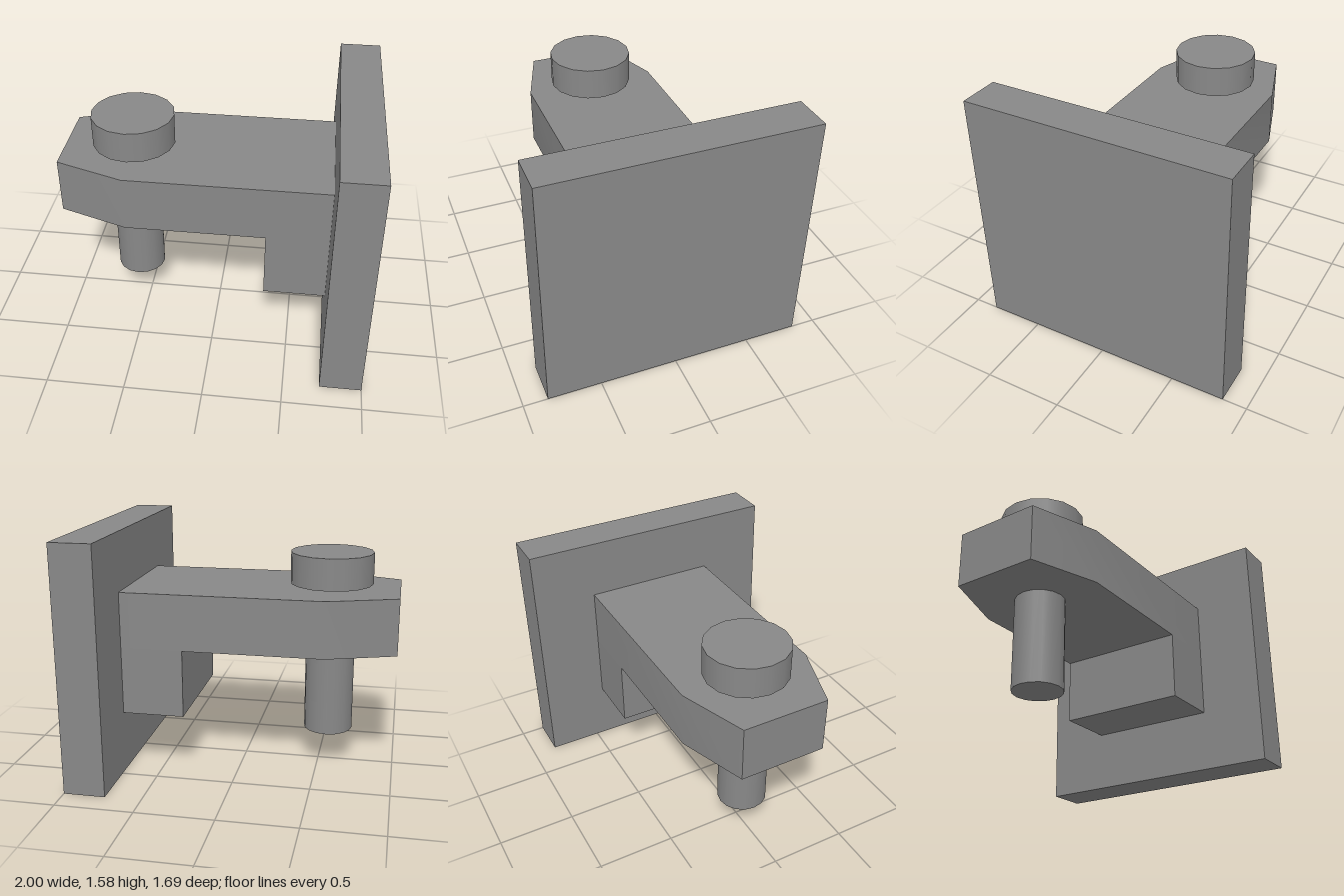
import * as THREE from 'three';
import { toCreasedNormals } from 'three/addons/utils/BufferGeometryUtils.js';

export function createModel() {
  const model = new THREE.Group();
  const material = new THREE.MeshStandardMaterial({ color: 0x888888 });

  const add = (name, geometry, x = 0, y = 0, z = 0, parent = model) => {
    const mesh = new THREE.Mesh(geometry, material);
    mesh.name = name;
    mesh.position.set(x, y, z);
    parent.add(mesh);
  };

  // Box given by its x and y ranges and its depth, centred on z = 0
  const addBlock = (name, x0, x1, y0, y1, depth) =>
    add(name, new THREE.BoxGeometry(x1 - x0, y1 - y0, depth), (x0 + x1) / 2, (y0 + y1) / 2);

  // Upright square plate and the knee under the arm
  addBlock('mountingPlate', 0.733, 1, 0, 1.58, 1.69);
  addBlock('supportKnee', 0.333, 0.733, 0.4, 0.84, 0.86);

  // Horizontal arm with a tapered tip, extruded upwards, shaded softly across the taper
  const outline = new THREE.Shape([
    [0.733, -0.43], [0.733, 0.43], [-0.56, 0.43],
    [-1, 0.28], [-1, -0.28], [-0.56, -0.43],
  ].map(([x, y]) => new THREE.Vector2(x, y)));
  const armGeometry = new THREE.ExtrudeGeometry(outline, { depth: 0.363, bevelEnabled: false });
  armGeometry.rotateX(-Math.PI / 2);
  add('arm', toCreasedNormals(armGeometry, Math.PI / 6), 0, 0.84, 0);

  // Bolt passing down through the arm
  const bolt = new THREE.Group();
  bolt.name = 'bolt';
  bolt.position.x = -0.56;
  model.add(bolt);
  const addRod = (name, radius, y0, y1) =>
    add(name, new THREE.CylinderGeometry(radius, radius, y1 - y0, 16), 0, (y0 + y1) / 2, 0, bolt);
  addRod('boltShaft', 0.16, 0.237, 1.227);
  addRod('boltHead', 0.267, 1.227, 1.43);

  return model;
}
